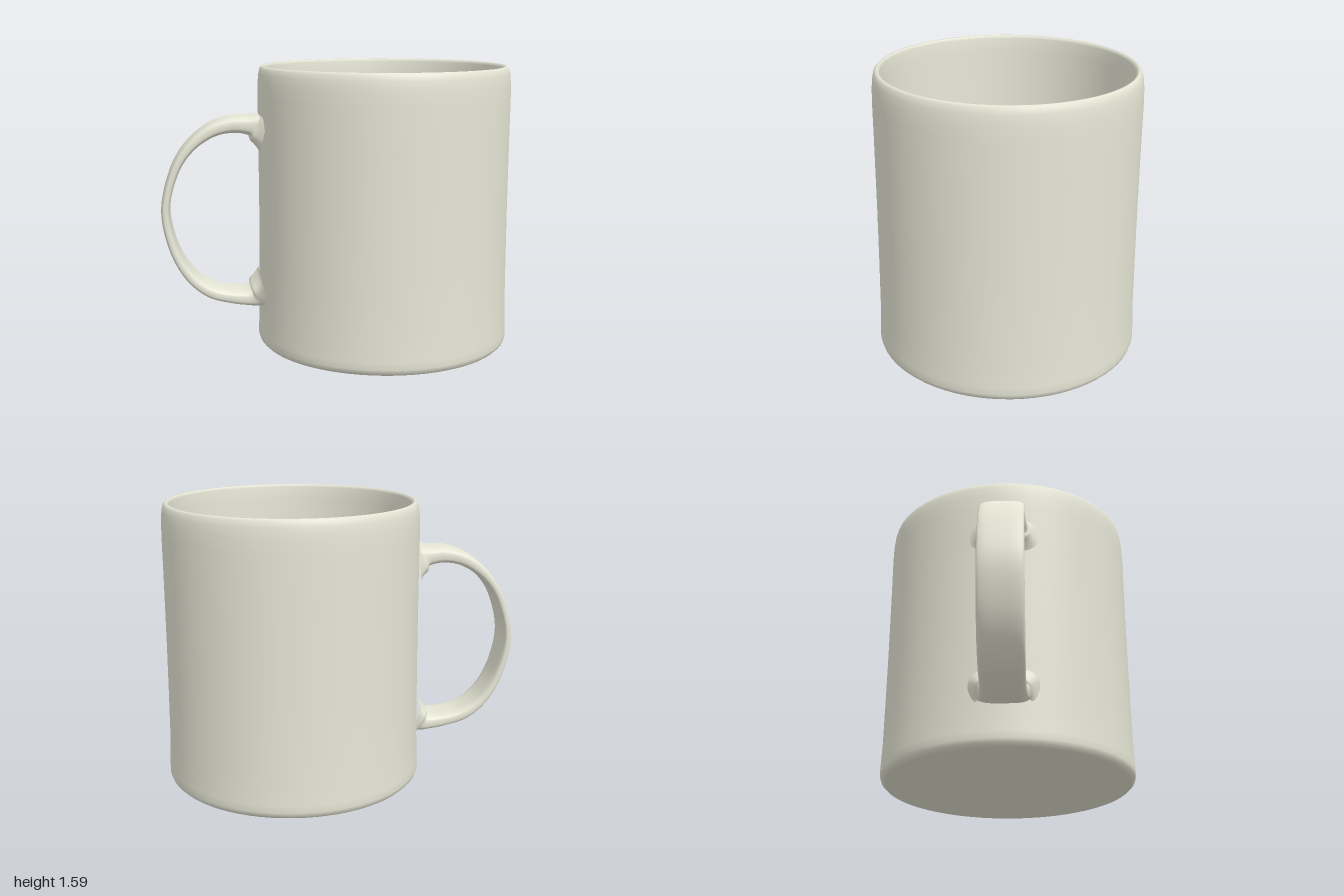
import * as THREE from 'three';

const material = new THREE.MeshStandardMaterial({ color: 0xe6e6d6 });

// Hollow cup: base, outer wall, rounded rim, inner wall, filleted floor
function createBody() {
  const profile = [
    [0, 0], [0.69, 0], [0.705, 0.003], [0.72, 0.018], [0.727, 0.04], [0.726, 0.08],
    [0.72, 0.22], [0.717, 0.5], [0.715, 0.8], [0.715, 1.2], [0.716, 1.42], [0.714, 1.5],
    [0.709, 1.55], [0.701, 1.58], [0.69, 1.592], [0.678, 1.59], [0.67, 1.575],
    [0.667, 1.5], [0.66, 1.2], [0.645, 0.75], [0.625, 0.3], [0.61, 0.22],
    [0.575, 0.15], [0.52, 0.11], [0.45, 0.092], [0.4, 0.09], [0, 0.09],
  ].map(([r, y]) => new THREE.Vector2(r, y));
  const mesh = new THREE.Mesh(new THREE.LatheGeometry(profile, 72), material);
  mesh.name = 'cupBody';
  mesh.position.x = 0.27;
  return mesh;
}

// Flat looped handle: a rounded section swept along an arc, flared at the wall
function createHandle() {
  // x, y, half thickness, half width
  const keys = [
    [-0.42, 1.245, 0.125, 0.19], [-0.455, 1.253, 0.09, 0.155], [-0.495, 1.265, 0.055, 0.13],
    [-0.6, 1.27, 0.045, 0.12], [-0.72, 1.235, 0.038, 0.12], [-0.84, 1.14, 0.03, 0.12],
    [-0.925, 1.0, 0.026, 0.12], [-0.974, 0.79, 0.025, 0.12], [-0.935, 0.575, 0.026, 0.12],
    [-0.85, 0.415, 0.03, 0.12], [-0.735, 0.32, 0.036, 0.12], [-0.6, 0.283, 0.04, 0.12],
    [-0.495, 0.277, 0.05, 0.13], [-0.455, 0.295, 0.085, 0.155], [-0.42, 0.305, 0.12, 0.19],
  ];
  const path = new THREE.CatmullRomCurve3(
    keys.map((k) => new THREE.Vector3(k[0], k[1], 0)), false, 'catmullrom');
  const size = new THREE.CatmullRomCurve3(
    keys.map((k) => new THREE.Vector3(k[2], k[3], 0)), false, 'catmullrom');
  const rings = 84, sides = 32;
  const soften = (v) => Math.sign(v) * Math.pow(Math.abs(v), 0.6);
  const positions = [], indices = [];

  for (let i = 0; i <= rings; i++) {
    const p = path.getPoint(i / rings);
    const t = path.getTangent(i / rings);
    const s = size.getPoint(i / rings);
    for (let j = 0; j < sides; j++) {
      const a = (j / sides) * Math.PI * 2;
      const out = s.x * soften(Math.sin(a));
      positions.push(p.x + t.y * out, p.y - t.x * out, s.y * soften(Math.cos(a)));
      if (i < rings) {
        const k = i * sides + j;
        const n = i * sides + ((j + 1) % sides);
        indices.push(k, n, k + sides, n, n + sides, k + sides);
      }
    }
  }
  const geometry = new THREE.BufferGeometry();
  geometry.setAttribute('position', new THREE.Float32BufferAttribute(positions, 3));
  geometry.setIndex(indices);
  geometry.computeVertexNormals();
  const mesh = new THREE.Mesh(geometry, material);
  mesh.name = 'handle';
  return mesh;
}

export function createModel() {
  const mug = new THREE.Group();
  mug.name = 'mug';
  mug.add(createBody(), createHandle());
  return mug;
}
